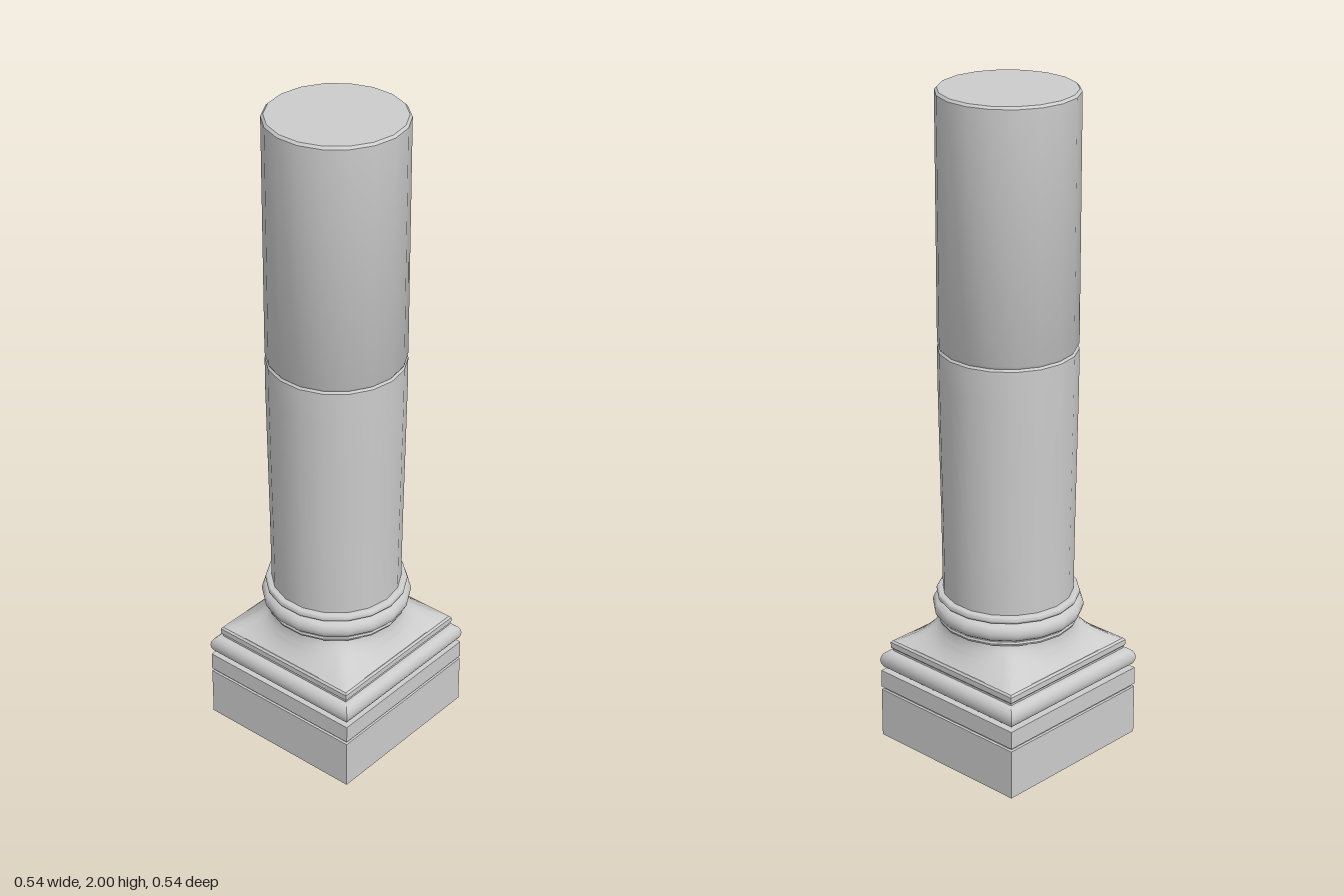
import * as THREE from 'three';
import { toCreasedNormals } from 'three/addons/utils/BufferGeometryUtils.js';

const material = new THREE.MeshStandardMaterial({ color: 0xcccccc });
const SIDES = 18;

export function createModel() {
  const model = new THREE.Group();

  function add(name, geometry) {
    const mesh = new THREE.Mesh(toCreasedNormals(geometry, 0.65), material);
    mesh.name = name;
    model.add(mesh);
  }

  // Round part turned from [radius, y] pairs, bottom to top
  function turned(name, profile) {
    const points = profile.map(([r, y]) => new THREE.Vector2(r, y));
    add(name, new THREE.LatheGeometry(points, SIDES, Math.PI / 2));
  }

  // Square moulding swept from [half width, y] pairs
  function square(name, profile) {
    const points = profile.map(([h, y]) => new THREE.Vector2(h * Math.SQRT2, y));
    add(name, new THREE.LatheGeometry(points, 4, Math.PI / 4));
  }

  // Half-round bulge profile between two heights
  function bulge(y0, y1, edge, outer, steps = 8) {
    return Array.from({ length: steps + 1 }, (_, i) => {
      const a = -Math.PI / 2 + (Math.PI * i) / steps;
      return [edge + (outer - edge) * Math.cos(a), (y0 + y1) / 2 + ((y1 - y0) / 2) * Math.sin(a)];
    });
  }

  // Plinth: two blocks separated by a fine groove
  square('plinthBlock', [[0, 0], [0.268, 0], [0.268, 0.154], [0.262, 0.156],
    [0.262, 0.161], [0.268, 0.163], [0.268, 0.218], [0, 0.218]]);

  // Square cushion and the fillet above it
  square('squareCushion', [[0, 0.218], [0.245, 0.218], ...bulge(0.222, 0.284, 0.245, 0.27), [0, 0.284]]);
  square('squareFillet', [[0.242, 0.282], [0.242, 0.29], [0.247, 0.295], [0.247, 0.312], [0.242, 0.318], [0, 0.318]]);

  // Concave flare blending from a square foot to a round neck
  const segments = 72, rows = 10, positions = [], indices = [];
  for (let j = 0; j <= rows; j++) {
    const t = j / rows;
    const half = 0.198 + 0.043 * Math.pow(1 - t, 1.9);
    const squareness = Math.pow(1 - t, 1.4);
    for (let i = 0; i < segments; i++) {
      const a = (i / segments) * Math.PI * 2;
      const c = Math.cos(a), s = Math.sin(a);
      const toSquare = 1 / Math.max(Math.abs(c), Math.abs(s));
      const r = half * (1 + (toSquare - 1) * squareness);
      positions.push(r * c, 0.317 + 0.087 * t, r * s);
      if (j < rows) {
        const p = j * segments + i, q = j * segments + ((i + 1) % segments);
        indices.push(p, p + segments, q, q, p + segments, q + segments);
      }
    }
  }
  const flare = new THREE.BufferGeometry();
  flare.setAttribute('position', new THREE.Float32BufferAttribute(positions, 3));
  flare.setIndex(indices);
  add('flare', flare);

  // Round mouldings at the foot of the shaft
  turned('lowerBead', [[0.19, 0.396], ...bulge(0.4, 0.418, 0.2, 0.208, 4), [0.19, 0.418]]);
  turned('roundTorus', [[0.19, 0.418], ...bulge(0.418, 0.472, 0.2, 0.223), [0.19, 0.472]]);
  turned('upperBead', [[0.19, 0.47], ...bulge(0.474, 0.495, 0.203, 0.212, 6), [0.18, 0.495]]);

  // Slightly tapered lower drum, with a narrow joint beneath the upper drum
  turned('lowerDrum', [[0, 0.48], [0.193, 0.48], [0.195, 0.7], [0.199, 0.95], [0.202, 1.15],
    [0.202, 1.25], [0.196, 1.257], [0, 1.257]]);
  turned('upperDrum', [[0, 1.255], [0.196, 1.255], [0.202, 1.265], [0.202, 1.993], [0.195, 2], [0, 2]]);

  return model;
}
